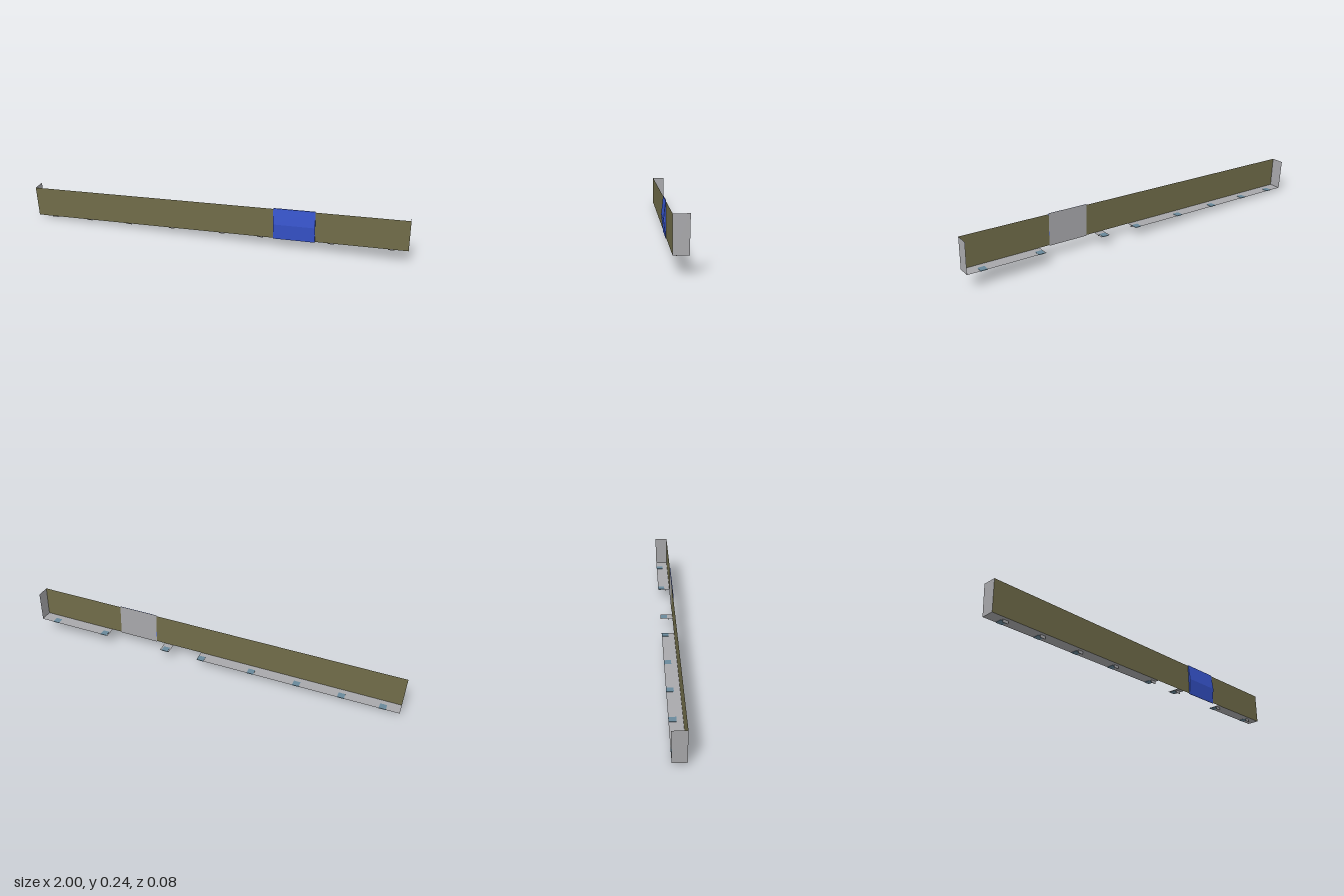
import * as THREE from 'three';

const H = 0.0815;      // half height of the panel
const L = 0.9975;      // half length
const FRONT = 0.03;    // z of the front sheet
const TILT = Math.atan(0.0347);

const olive = new THREE.MeshStandardMaterial({ color: 0x706c49, side: THREE.DoubleSide });
olive.name = 'olive';
const grey = new THREE.MeshStandardMaterial({ color: 0xa8a8ab, side: THREE.DoubleSide });
grey.name = 'grey';
const blue = new THREE.MeshStandardMaterial({ color: 0x3654cc });
blue.name = 'blue';
const slate = new THREE.MeshStandardMaterial({ color: 0x68889a });
slate.name = 'slate';

// flat four-cornered sheet
function sheet(name, material, a, b, c, d) {
  const geometry = new THREE.BufferGeometry();
  geometry.setAttribute('position', new THREE.Float32BufferAttribute([a, b, c, d].flat(), 3));
  geometry.setIndex([0, 1, 2, 0, 2, 3]);
  geometry.computeVertexNormals();
  const mesh = new THREE.Mesh(geometry, material);
  mesh.name = name;
  return mesh;
}

function upright(name, material, x0, x1, y0, y1, z) {
  return sheet(name, material, [x0, y0, z], [x1, y0, z], [x1, y1, z], [x0, y1, z]);
}

function box(name, material, size, position) {
  const mesh = new THREE.Mesh(new THREE.BoxGeometry(...size), material);
  mesh.position.set(...position);
  mesh.name = name;
  return mesh;
}

export function createModel() {
  const model = new THREE.Group();
  model.name = 'slopingPanel';
  const body = new THREE.Group();
  body.name = 'panelBody';
  body.position.y = 0.128;
  body.rotation.z = TILT;
  model.add(body);

  // front sheet, interrupted by the raised blue cover
  const coverStart = 0.328, coverEnd = 0.54;
  body.add(upright('frontPanelRight', olive, -L, coverStart, -H, H, FRONT));
  body.add(upright('frontPanelLeft', olive, coverEnd, L, -H, H, FRONT));

  // cover with a shallow ridge across the middle
  const profile = new THREE.Shape();
  profile.moveTo(-FRONT, -0.085);
  profile.lineTo(-FRONT, 0.086);
  profile.lineTo(-0.032, 0.085);
  profile.lineTo(-0.0415, 0);
  profile.lineTo(-0.032, -0.085);
  const coverGeometry = new THREE.ExtrudeGeometry(profile, { depth: coverEnd - coverStart, bevelEnabled: false });
  coverGeometry.rotateY(Math.PI / 2);
  const cover = new THREE.Mesh(coverGeometry, blue);
  cover.name = 'raisedCover';
  cover.position.x = coverStart;
  body.add(cover);
  body.add(upright('coverBacking', grey, coverStart, coverEnd, -0.085, 0.086, FRONT - 0.001));

  // end caps, slightly deeper at the top
  for (const side of [-1, 1]) {
    const x = side * L;
    body.add(sheet(side > 0 ? 'leftEndCap' : 'rightEndCap', grey,
      [x, -H, FRONT], [x, -H, -0.036], [x, H, -0.04], [x, H, FRONT]));
  }

  // bottom flange in three lengths
  for (const [x0, x1] of [[-L, 0.07], [0.23, 0.28], [0.595, L]]) {
    body.add(sheet('bottomFlange', grey,
      [x0, -H, FRONT], [x1, -H, FRONT], [x1, -H, -0.036], [x0, -H, -0.036]));
  }

  // mounting pads with thin hanging tabs
  for (const x of [-0.912, -0.703, -0.47, -0.227, 0.05, 0.254, 0.618, 0.914]) {
    body.add(box('mountingPad', slate, [0.035, 0.003, 0.036], [x, -H, -0.018]));
    body.add(box('hangingTab', grey, [0.03, 0.0145, 0.003], [x, -H - 0.00725, 0.01]));
  }
  return model;
}
